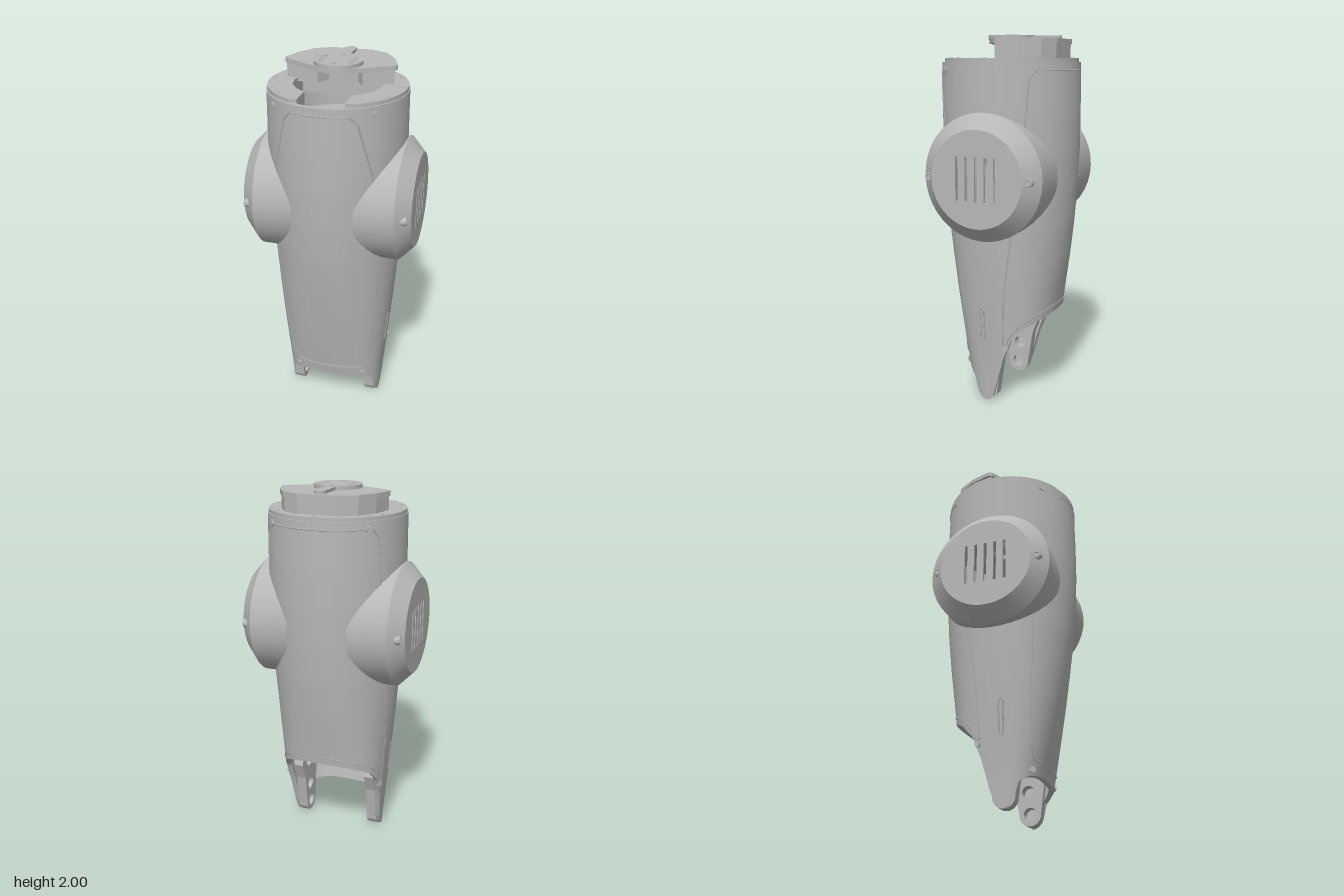
import * as THREE from 'three';
import { toCreasedNormals } from 'three/addons/utils/BufferGeometryUtils.js';

const grey = new THREE.MeshStandardMaterial({ color: 0xb8b8b8, side: THREE.DoubleSide });
grey.name = 'satin grey';

const POD_Y = 1.275;

// Body sections: height, half width, front depth, back depth, squareness
const SECTIONS = [
  [0.0, 0.262, 0.165, 0.215, 3.0], [0.2, 0.276, 0.203, 0.235, 2.9], [0.4, 0.296, 0.243, 0.265, 2.6],
  [0.6, 0.315, 0.282, 0.293, 2.35], [0.8, 0.333, 0.317, 0.325, 2.15], [1.0, 0.348, 0.347, 0.35, 2.05],
  [1.2, 0.36, 0.367, 0.366, 2], [1.4, 0.367, 0.378, 0.375, 2], [1.6, 0.37, 0.38, 0.376, 2], [1.86, 0.368, 0.378, 0.372, 2],
];
// Lower trim line of the shell: z, y
const TRIM = [
  [-0.4, 0.52], [-0.275, 0.5], [-0.18, 0.44], [-0.115, 0.37], [-0.07, 0.26], [-0.03, 0.12], [-0.018, 0.06],
  [0.008, 0.015], [0.04, 0], [0.073, 0.015], [0.1, 0.06], [0.115, 0.13], [0.16, 0.165], [0.2, 0.18], [0.4, 0.18],
];

// Linear lookup in a table sorted by its first column
function lookup(table, v) {
  let i = 0;
  while (i < table.length - 2 && table[i + 1][0] < v) i++;
  const a = table[i], b = table[i + 1];
  const t = THREE.MathUtils.clamp((v - a[0]) / (b[0] - a[0]), 0, 1);
  return a.map((n, k) => n + (b[k] - n) * t);
}

// Point on the body at an angle in degrees (0 = left side, 90 = front)
function surface(deg, y, inset = 0) {
  const [, a, front, back, n] = lookup(SECTIONS, y);
  const t = THREE.MathUtils.degToRad(deg), c = Math.cos(t), s = Math.sin(t);
  const bend = (v) => Math.sign(v) * Math.abs(v) ** (2 / n);
  return new THREE.Vector3((a - inset) * bend(c), y, ((s > 0 ? front : back) - inset) * bend(s));
}

function trimHeight(deg) {
  let y = 0;
  while (y < 0.6 && lookup(TRIM, surface(deg, y).z)[1] > y) y += 0.002;
  return y;
}

function add(parent, name, geometry) {
  const mesh = new THREE.Mesh(geometry, grey);
  mesh.name = name;
  parent.add(mesh);
  return mesh;
}

// Hollow shell with an outer wall, inner wall and closed rims
function shellGeometry() {
  const cols = 144, rows = 36, wall = 0.028, ring = 2 * (rows + 1);
  const pos = [], index = [];
  for (let i = 0; i < cols; i++) {
    const deg = (i * 360) / cols, y0 = trimHeight(deg);
    for (let j = 0; j < ring; j++) {
      const outer = j <= rows, k = outer ? j : ring - 1 - j;
      const p = surface(deg, y0 + (1.86 - y0) * (k / rows), outer ? 0 : wall);
      pos.push(p.x, p.y, p.z);
    }
  }
  for (let i = 0; i < cols; i++) {
    for (let j = 0; j < ring; j++) {
      const a = i * ring + j, b = i * ring + ((j + 1) % ring);
      const next = ((i + 1) % cols) * ring;
      const c = next + ((j + 1) % ring), d = next + j;
      // leave the shell open behind the side pods
      const y = (pos[a * 3 + 1] + pos[c * 3 + 1]) / 2, z = (pos[a * 3 + 2] + pos[c * 3 + 2]) / 2;
      if (Math.hypot(y - POD_Y, z) < 0.28) continue;
      index.push(a, b, c, a, c, d);
    }
  }
  const g = new THREE.BufferGeometry();
  g.setAttribute('position', new THREE.Float32BufferAttribute(pos, 3));
  g.setIndex(index);
  return toCreasedNormals(g, 0.7);
}

// Fine seam following the body through [angle, height] points
function seam(parent, name, path) {
  const pts = [];
  for (let i = 0; i < path.length - 1; i++) {
    for (let k = 0; k < 8; k++) {
      const t = k / 8, [a, b] = [path[i], path[i + 1]];
      pts.push(surface(a[0] + (b[0] - a[0]) * t, a[1] + (b[1] - a[1]) * t));
    }
  }
  pts.push(surface(...path[path.length - 1]));
  add(parent, name, new THREE.TubeGeometry(new THREE.CatmullRomCurve3(pts), pts.length * 2, 0.004, 4));
}

const circle = (x, y, r) => new THREE.Path().absarc(x, y, r, 0, Math.PI * 2, true);
const outline = (pts, holes = []) => {
  const s = new THREE.Shape(pts.map(([x, z]) => new THREE.Vector2(x, -z)));
  s.holes.push(...holes);
  return s;
};
// Mirrors a half outline across x = 0
const mirrored = (half) => [...half, ...half.map(([x, z]) => [-x, z]).reverse()];
const extrude = (shape, depth) =>
  new THREE.ExtrudeGeometry(shape, { depth, bevelEnabled: false, curveSegments: 24 });
// Horizontal plate between two heights
const plate = (shape, y0, y1) => extrude(shape, y1 - y0).rotateX(-Math.PI / 2).translate(0, y0, 0);
// Upright plate whose outline uses (-z, y)
const sidePlate = (shape, x0, x1) => extrude(shape, x1 - x0).rotateY(Math.PI / 2).translate(x0, 0, 0);

function makePod(side) {
  const pod = new THREE.Group();
  pod.name = side > 0 ? 'leftPod' : 'rightPod';
  const profile = [[0.335, 0.165], [0.335, 0.376], [0.255, 0.452]].map((p) => new THREE.Vector2(...p));
  add(pod, 'podHousing', toCreasedNormals(new THREE.LatheGeometry(profile, 40).rotateZ(-Math.PI / 2), 0.5));
  // vented end face
  const face = new THREE.Shape().absarc(0, 0, 0.255, 0, Math.PI * 2);
  for (let i = -2; i <= 2; i++) {
    const x = i * 0.054, w = 0.008;
    face.holes.push(new THREE.Path([[x - w, -0.115], [x - w, 0.115], [x + w, 0.115], [x + w, -0.115]]
      .map((p) => new THREE.Vector2(...p))));
  }
  add(pod, 'podFace', sidePlate(face, 0.438, 0.452));
  for (const z of [-0.28, 0.28]) {
    add(pod, 'podScrew', new THREE.CylinderGeometry(0.024, 0.024, 0.04, 16).rotateZ(Math.PI / 2))
      .position.set(0.413, 0, z);
    add(pod, 'podScrewHead', new THREE.TorusGeometry(0.016, 0.005, 6, 16).rotateY(Math.PI / 2))
      .position.set(0.433, 0, z);
  }
  pod.position.y = POD_Y;
  pod.rotation.y = side > 0 ? 0 : Math.PI;
  return pod;
}

export function createModel() {
  const model = new THREE.Group();
  model.name = 'limbSegment';
  add(model, 'bodyShell', shellGeometry());
  model.add(makePod(1), makePod(-1));

  // Panel seams
  const both = (half) => [...half, ...half.slice(0, -1).reverse().map(([d, y]) => [(half[0][0] > 0 ? 180 : -180) - d, y])];
  const frontHalf = [[90, 1.82], [66, 1.82], [60, 1.78], [47, 1.5], [37, 1], [38, 0.6], [44, 0.32], [54, 0.25], [90, 0.24]];
  seam(model, 'frontPanelSeam', both(frontHalf));
  const backHalf = [[-90, 1.82], [-42, 1.82], [-37, 1.78], [-33, 1.5], [-22, 0.95], [-14, 0.6], [-11, 0.36]];
  for (let d = -14; d >= -90; d -= 4) backHalf.push([d, trimHeight(d) + 0.04]);
  seam(model, 'backPanelSeam', both(backHalf));
  for (const m of [0, 1]) {
    const slot = [[4, 0.38], [4, 0.54], [6, 0.555], [8, 0.54], [8, 0.38], [6, 0.365], [4, 0.38]];
    seam(model, 'sideSlot', slot.map(([d, y]) => [m ? 180 - d : d, y]));
  }

  // Panel screws
  for (const [d, y] of [[45, 1.82], [-45, 1.82], [52, 0.2], [-13, 0.33]]) {
    for (const deg of [d, 180 - d]) {
      const p = surface(deg, y);
      const screw = add(model, 'panelScrew', new THREE.CylinderGeometry(0.017, 0.017, 0.012, 12).rotateX(Math.PI / 2));
      screw.position.copy(p);
      screw.lookAt(p.x * 2, y, p.z * 2);
    }
  }

  // Joint lugs with a bore and a lightening hole
  const lug = new THREE.Shape();
  lug.moveTo(-0.1, 0.07).absarc(-0.04, 0.066, 0.06, Math.PI, 0, false);
  lug.lineTo(0.05, 0.26).lineTo(0.09, 0.36).lineTo(0.04, 0.5).lineTo(-0.1, 0.5).lineTo(-0.13, 0.3).lineTo(-0.11, 0.14);
  lug.holes.push(circle(-0.04, 0.07, 0.035), circle(-0.03, 0.19, 0.035), circle(-0.02, 0.36, 0.045));
  for (const x of [-0.245, 0.19]) add(model, 'jointLug', sidePlate(lug, x, x + 0.055));

  // Top rim, open towards the front
  const rim = [];
  for (let i = 0; i <= 20; i++) {
    const t = 0.46 + (i / 20) * (Math.PI - 0.46);
    rim.push([Math.sin(t) * 0.363, Math.cos(t) * 0.363]);
  }
  const opening = [[0.12, 0.32], [0.12, 0.2], [0.18, 0.15], [0.22, 0.08], [0.23, 0.02], [0.23, -0.12]];
  const rimHalf = [...opening.reverse(), [0.14, 0.326], ...rim];
  add(model, 'topRim', plate(outline(mirrored(rimHalf)), 1.78, 1.88));
  for (const deg of [0, 30, 45, 90, 135, 150, 180, 210, 225, 315, 330]) {
    const t = THREE.MathUtils.degToRad(deg);
    add(model, 'rimScrew', new THREE.CylinderGeometry(0.009, 0.009, 0.006, 8))
      .position.set(Math.cos(t) * 0.342, 1.88, -Math.sin(t) * 0.342);
  }

  // Inner deck with a slot towards the front
  const deck = [[0.095, -0.12], [0.095, 0.325]];
  for (let i = 0; i <= 16; i++) {
    const t = 0.29 + (i / 16) * (Math.PI - 0.29);
    deck.push([Math.sin(t) * 0.35, Math.cos(t) * 0.35]);
  }
  add(model, 'innerDeck', plate(outline(mirrored(deck)), 1.62, 1.65));

  // Cap: curved block, overhanging plate, bolt disc and tab
  const boltHoles = () => [[0, 0.09], [0, -0.09], [0.08, 0.045], [0.08, -0.045], [-0.08, 0.045], [-0.08, -0.045],
    [0.08, 0], [-0.08, 0]].map(([x, z]) => circle(x, z, 0.013));
  const capBack = [[0.11, -0.303], [0.2, -0.255], [0.262, -0.155]];
  const block = [[0, -0.12], [0.08, -0.1], [0.12, -0.03], [0.285, -0.03], ...[...capBack].reverse().map(([x, z]) => [x * 0.98, z * 0.98])];
  add(model, 'capBlock', plate(outline(mirrored(block)), 1.86, 1.96));
  const capHalf = [...capBack, [0.298, -0.045], [0.288, -0.025], [0.075, 0.1], [0, 0.123]];
  add(model, 'capPlate', plate(outline(mirrored(capHalf), boltHoles()), 1.955, 1.98));
  const disc = new THREE.Shape().absarc(0, 0, 0.127, 0, Math.PI * 2);
  disc.holes.push(...boltHoles());
  add(model, 'boltDisc', plate(disc, 1.978, 2));
  const tab = new THREE.Shape().moveTo(0.03, 0.12).lineTo(0.03, 0.255).absarc(0, 0.255, 0.03, 0, Math.PI, false).lineTo(-0.03, 0.12);
  add(model, 'capTab', plate(tab, 1.978, 1.996));
  return model;
}
